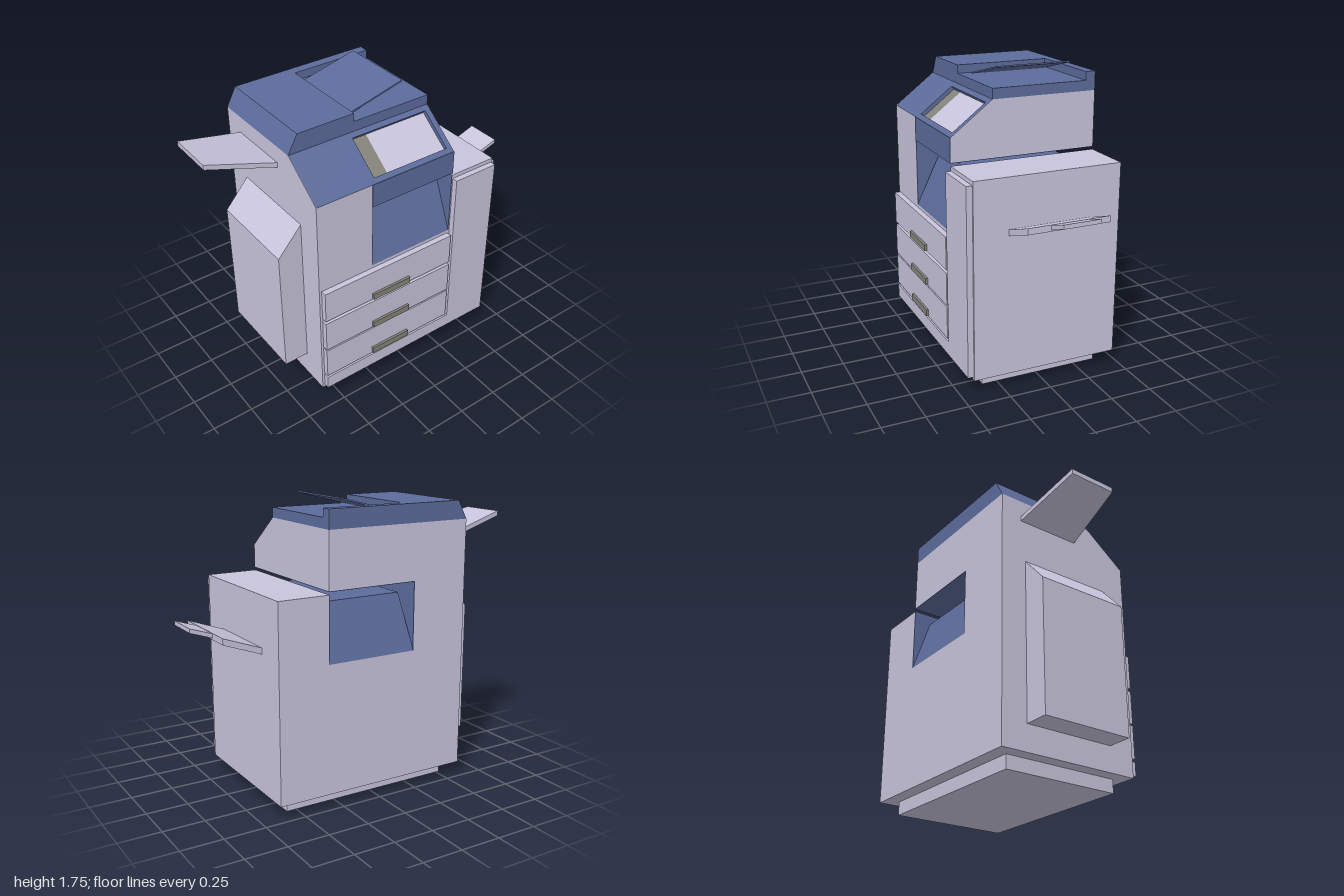
import * as THREE from 'three';

const mat = (name, color) => {
  const m = new THREE.MeshStandardMaterial({ color });
  m.name = name;
  return m;
};

export function createModel() {
  const group = new THREE.Group();
  const shell = mat('pale lavender', 0xc8c4dc);
  const blue = mat('slate blue', 0x5c6b9b);
  const olive = mat('olive grey', 0x84837a);

  const add = (name, geo, material) => {
    const mesh = new THREE.Mesh(geo, material);
    mesh.name = name;
    group.add(mesh);
    return mesh;
  };
  const outline = pts => new THREE.Shape(pts.map(p => new THREE.Vector2(p[0], p[1])));
  const extrude = (shape, depth) => new THREE.ExtrudeGeometry(shape, { depth, bevelEnabled: false });

  // Box given by its limits on each axis
  const box = (name, m, x0, x1, y0, y1, z0, z1) => add(name,
    new THREE.BoxGeometry(x1 - x0, y1 - y0, z1 - z0)
      .translate((x0 + x1) / 2, (y0 + y1) / 2, (z0 + z1) / 2), m);
  // Front outline (x, y) extruded along z
  const frontPrism = (name, m, pts, z0, z1) =>
    add(name, extrude(outline(pts), z1 - z0).translate(0, 0, z0), m);
  // Side outline (z, y) extruded along x
  const sidePrism = (name, m, pts, x0, x1) =>
    add(name, extrude(outline(pts), x1 - x0).rotateY(-Math.PI / 2).translate(x1, 0, 0), m);
  // Box whose corners are placed by a rule
  const bentBox = (name, m, rule) => {
    const geo = new THREE.BoxGeometry(1, 1, 1);
    const p = geo.attributes.position;
    for (let i = 0; i < p.count; i++) p.setXYZ(i, ...rule(p.getX(i) > 0, p.getY(i) > 0, p.getZ(i) > 0));
    geo.computeVertexNormals();
    return add(name, geo, m);
  };
  // Tilted slab from low-x end a to high-x end b: [x, bottom y, z min, z max]
  const slab = (name, m, a, b, t) => bentBox(name, m, (right, top, front) => {
    const e = right ? b : a;
    return [e[0], e[1] + (top ? t : 0), front ? e[3] : e[2]];
  });

  const BACK = -0.47, FRONT = 0.42;

  // Plinth and main cabinet with the open output bay
  box('plinth', shell, -0.52, 0.56, 0, 0.08, -0.385, 0.34);
  frontPrism('cabinet', shell, [
    [-0.6, 0.08], [0.64, 0.08], [0.64, 1.24], [0.33, 1.24], [0.33, 0.85],
    [-0.24, 0.85], [-0.24, 1.26], [0.33, 1.26], [0.33, 1.4], [-0.6, 1.4],
  ], BACK, FRONT);

  // Blue lining of the bay and the fascia above it
  box('bayLeftLining', blue, -0.24, -0.236, 0.85, 1.26, BACK, FRONT);
  box('bayRightLining', blue, 0.326, 0.33, 0.85, 1.24, BACK, FRONT);
  box('bayCeiling', blue, -0.24, 0.329, 1.256, 1.26, BACK, FRONT);
  box('bayFascia', blue, -0.24, 0.33, 1.256, 1.4, FRONT, FRONT + 0.003);

  // Output block with sloped front, back and one side
  bentBox('outputBlock', blue, (right, top, front) => [
    right ? 0.328 : (top ? -0.2 : -0.24),
    top ? 1.18 : 0.85,
    front ? (top ? 0.28 : FRONT) : (top ? -0.36 : BACK),
  ]);

  // Upper housing: lowered core between two thin cheeks
  sidePrism('upperHousing', shell, [[BACK, 1.39], [0.37, 1.39], [0.37, 1.4], [0.12, 1.59], [BACK, 1.59]], -0.598, 0.328);
  for (const x of [-0.6, 0.328]) {
    sidePrism('housingCheek', shell, [[BACK, 1.4], [FRONT, 1.4], [0.17, 1.59], [BACK, 1.59]], x, x + 0.002);
  }

  // Sloped control panel with a screen opening
  const rise = 0.19, run = 0.25, len = Math.hypot(rise, run), depth = 0.03;
  const panel = new THREE.Group();
  panel.name = 'controlPanel';
  panel.position.set(0, 1.4 - depth * run / len, FRONT - depth * rise / len);
  panel.rotation.x = Math.atan2(-run, rise);
  group.add(panel);
  const rect = (x0, x1, y0, y1) => [[x0, y0], [x1, y0], [x1, y1], [x0, y1]];
  const u0 = 0.033, u1 = 0.281;
  const bezel = outline(rect(-0.598, 0.328, 0, len));
  bezel.holes.push(outline(rect(-0.21, 0.295, u0, u1)));
  panel.add(add('panelBezel', extrude(bezel, depth), blue));
  panel.add(add('keypad', extrude(outline(rect(-0.21, -0.11, u0, u1)), 0.006), olive));
  panel.add(add('screen', extrude(outline(rect(-0.11, 0.295, u0, u1)), 0.006), shell));

  // Lid with a recess open to the front and side, and its feeder sheet
  frontPrism('lid', blue, [
    [-0.6, 1.59], [0.33, 1.59], [0.33, 1.65], [-0.18, 1.65], [-0.18, 1.7], [-0.54, 1.7],
  ], -0.41, 0.17);
  frontPrism('lidBack', blue, [[-0.6, 1.59], [0.33, 1.59], [0.33, 1.7], [-0.54, 1.7]], BACK, -0.41);
  slab('feederSheet', blue, [-0.15, 1.648, -0.375, 0.09], [0.205, 1.737, -0.375, 0.09], 0.009);

  // Drawers with handles
  for (const [y0, y1, h] of [[0.63, 0.83, 0.655], [0.41, 0.61, 0.437], [0.2, 0.4, 0.228]]) {
    box('drawer', shell, -0.585, 0.32, y0, y1, FRONT, 0.455);
    box('drawerHandle', olive, -0.26, 0.005, h - 0.02, h + 0.02, 0.455, 0.47);
  }

  // L-shaped front cover of the kick strip and the side tower
  frontPrism('towerCover', shell, [
    [-0.585, 0.1], [0.63, 0.1], [0.63, 1.215], [0.335, 1.215], [0.335, 0.185], [-0.585, 0.185],
  ], FRONT, 0.455);

  // Side unit with a sloped top
  frontPrism('sideUnit', shell, [[-0.75, 0.235], [-0.6, 0.235], [-0.6, 1.2], [-0.75, 1.03]], -0.31, 0.26);

  // Paper trays on both sides
  slab('upperTray', shell, [-1, 1.565, -0.29, 0], [-0.59, 1.455, -0.34, 0.055], 0.03);
  slab('bypassTray', shell, [0.63, 0.905, -0.275, 0.215], [0.87, 0.992, -0.275, 0.215], 0.037);
  slab('bypassExtension', shell, [0.85, 0.995, -0.14, 0.08], [1, 1.046, -0.14, 0.08], 0.025);

  return group;
}
